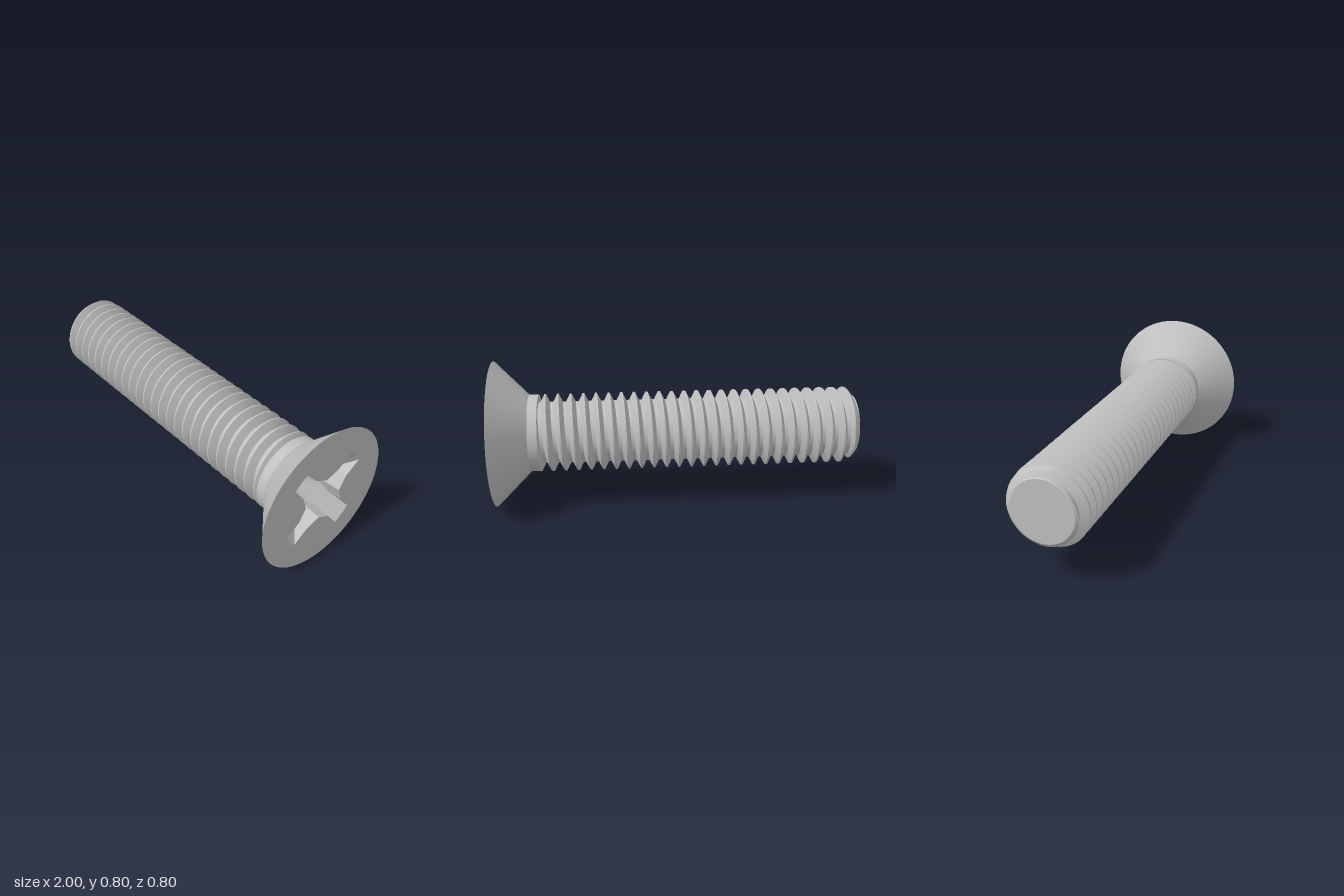
import * as THREE from 'three';
import { toCreasedNormals } from 'three/addons/utils/BufferGeometryUtils.js';

const SEG = 72;
const END = -1, RUNOUT = 0.76;            // thread limits along the axis
const PITCH = 0.07, CREST = 0.214, ROOT = 0.17, TIP = 0.165;
const RECESS_R = 0.267, RECESS_DEPTH = 0.22;

// Triangles given as vectors; slivers left by clamping are dropped
function fromTriangles(tris, crease) {
  const pos = [];
  const t = new THREE.Triangle();
  for (const [a, b, c] of tris) {
    if (t.set(a, b, c).getArea() < 1e-8) continue;
    for (const p of [a, b, c]) pos.push(p.x, p.y, p.z);
  }
  const g = new THREE.BufferGeometry();
  g.setAttribute('position', new THREE.Float32BufferAttribute(pos, 3));
  return toCreasedNormals(g, crease);
}

// Thread radius at an axial distance (in pitches) from a crest centre
function threadRadius(phase) {
  const d = Math.abs(phase - Math.round(phase));
  const k = THREE.MathUtils.clamp((d - 0.0625) / (0.375 - 0.0625), 0, 1);
  return THREE.MathUtils.lerp(CREST, ROOT, k);
}

// Right-hand helical thread, rows following the helix, chamfered at the end
function threadGeometry() {
  const rows = [-0.0625, 0.0625, 0.14, 0.22, 0.3, 0.375, 0.625, 0.7, 0.78, 0.86];
  const start = -0.957;
  const point = (u, i) => {
    const a = (i / SEG) * Math.PI * 2;
    const z = THREE.MathUtils.clamp(start + PITCH * (u + i / SEG), END, RUNOUT);
    const r = Math.min(threadRadius((z - start) / PITCH - i / SEG), TIP + (z - END) * 1.1);
    return new THREE.Vector3(-r * Math.sin(a), r * Math.cos(a), z);
  };
  const us = [];
  for (let k = -2; k < 27; k++) for (const r of rows) us.push(k + r);
  const tris = [];
  for (let j = 0; j < us.length - 1; j++) {
    for (let i = 0; i < SEG; i++) {
      const a = point(us[j], i), b = point(us[j], i + 1);
      const c = point(us[j + 1], i), d = point(us[j + 1], i + 1);
      tris.push([a, b, c], [b, d, c]);
    }
  }
  return fromTriangles(tris, 0.4);
}

// Cross recess outline, clockwise: [x, y, inward taper] for one quarter
const QUARTER = [
  [-0.205, 0.17, 1], [-0.122, 0.237, 1], [-0.063, 0.155, 0.95],
  [0.011, 0.117, 0.88], [0.09, 0.143, 0.95],
];

function recessOutline() {
  const corners = [];
  for (let q = 0; q < 4; q++) {
    for (const [x, y, s] of QUARTER) {
      const p = new THREE.Vector2(x, y).rotateAround(new THREE.Vector2(), -q * Math.PI / 2);
      if (s === 1) p.setLength(RECESS_R);
      corners.push({ p, s });
    }
  }
  const out = [];
  corners.forEach((c, i) => {
    const n = corners[(i + 1) % corners.length];
    for (let k = 0; k < 4; k++) {
      const p = c.p.clone().lerp(n.p, k / 4);
      if (c.s === 1 && n.s === 1) p.setLength(RECESS_R);   // rounded arm ends
      out.push({ p, s: THREE.MathUtils.lerp(c.s, n.s, k / 4) });
    }
  });
  return out;
}

export function createModel() {
  const steel = new THREE.MeshStandardMaterial({ color: 0xc0c0c0 });
  steel.name = 'steel grey';

  const model = new THREE.Group();
  model.name = 'countersunkScrew';
  const screw = new THREE.Group();         // built along +z, then turned to +x
  screw.name = 'screw';
  screw.rotation.y = Math.PI / 2;
  screw.position.y = 0.4;
  model.add(screw);
  const add = (name, geometry) => {
    const mesh = new THREE.Mesh(geometry, steel);
    mesh.name = name;
    screw.add(mesh);
  };

  // Threaded shank and its flat end
  add('thread', threadGeometry());
  add('shankEnd', new THREE.CircleGeometry(TIP, SEG).rotateY(Math.PI).translate(0, 0, END));

  // Plain collar and conical head
  const profile = [[0.15, RUNOUT], [0.212, RUNOUT], [0.212, 0.812], [0.4, 1]]
    .map(([r, h]) => new THREE.Vector2(r, h));
  add('collarAndHead', toCreasedNormals(
    new THREE.LatheGeometry(profile, SEG).rotateX(Math.PI / 2), 0.4));

  // Head face with the cross cut out
  const outline = recessOutline();
  const face = new THREE.Shape().absarc(0, 0, 0.4, 0, Math.PI * 2);
  face.holes.push(new THREE.Path(outline.map(o => o.p)));
  add('headFace', new THREE.ShapeGeometry(face, SEG / 2).translate(0, 0, 1));

  // Recess: tapered walls down to a conical floor
  const rim = outline.map(({ p }) => new THREE.Vector3(p.x, p.y, 1));
  const low = outline.map(({ p, s }) => {
    const depth = RECESS_DEPTH * Math.max(0, 1 - p.length() * s / RECESS_R);
    return new THREE.Vector3(p.x * s, p.y * s, 1 - depth);
  });
  const apex = new THREE.Vector3(0, 0, 1 - RECESS_DEPTH);
  const walls = [], floor = [];
  rim.forEach((r0, i) => {
    const j = (i + 1) % rim.length;
    walls.push([r0, low[i], rim[j]], [rim[j], low[i], low[j]]);
    floor.push([apex, low[j], low[i]]);
  });
  add('recessWalls', fromTriangles(walls, 0.2));
  add('recessFloor', fromTriangles(floor, 0.5));

  return model;
}
